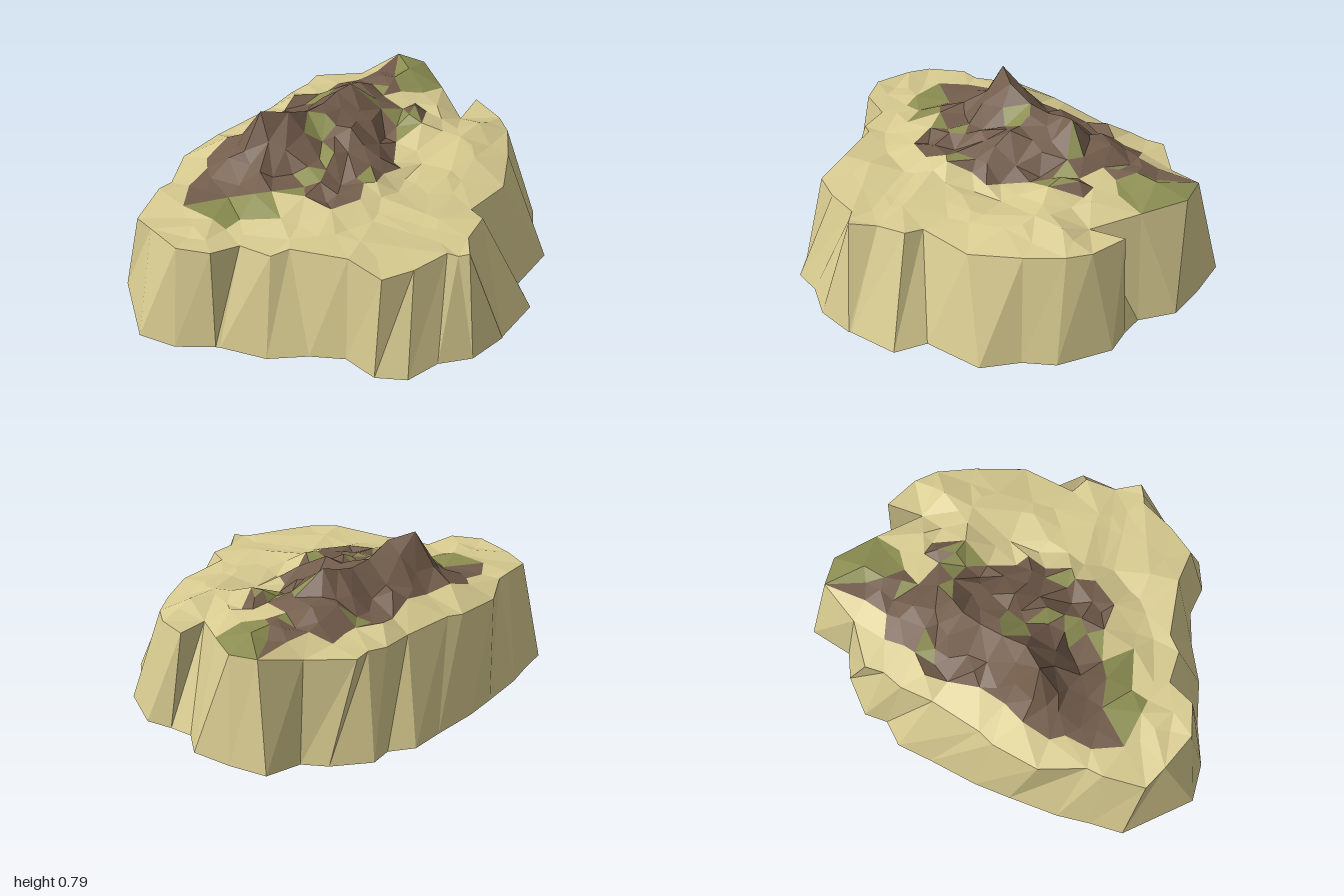
import * as THREE from 'three';

// Outlines run clockwise seen from above, starting at the back: x, z pairs
const pairs = a => a.reduce((out, v, i) => (i % 2 ? out.push([a[i - 1], v]) : 0, out), []);
const BASE = pairs([
  0.06, -1, 0.25, -0.93, 0.44, -0.84, 0.51, -0.67, 0.62, -0.62, 0.75, -0.58, 0.9, -0.35, 0.91, -0.19,
  0.98, -0.01, 0.87, 0.25, 0.94, 0.39, 0.83, 0.62, 0.83, 0.63, 0.71, 0.79, 0.56, 0.87, 0.44, 0.98,
  0.29, 0.99, 0.15, 0.92, -0.02, 0.92, -0.21, 0.95, -0.43, 0.93, -0.45, 0.93, -0.64, 0.94, -0.82, 0.89,
  -0.98, 0.54, -0.93, 0.38, -0.89, 0.22, -0.8, -0.01, -0.73, -0.18, -0.61, -0.4, -0.53, -0.56,
  -0.41, -0.62, -0.37, -0.73, -0.18, -0.81, -0.05, -0.82]);
const RIM = pairs([
  0.12, -0.89, 0.26, -0.85, 0.38, -0.65, 0.5, -0.43, 0.56, -0.6, 0.69, -0.47, 0.74, -0.36, 0.76, -0.17,
  0.76, 0.08, 0.63, 0.31, 0.69, 0.38, 0.64, 0.52, 0.66, 0.65, 0.61, 0.66, 0.56, 0.66, 0.43, 0.79,
  0.3, 0.88, 0.14, 0.81, -0.13, 0.76, -0.21, 0.8, -0.36, 0.75, -0.47, 0.85, -0.63, 0.84, -0.78, 0.71,
  -0.87, 0.62, -0.82, 0.42, -0.78, 0.35, -0.78, 0.12, -0.66, -0.09, -0.6, -0.15, -0.45, -0.37,
  -0.38, -0.52, -0.31, -0.6, -0.28, -0.69, -0.05, -0.75]);
const RIM_Y = [0.54, 0.53, 0.51, 0.48, 0.49, 0.48, 0.48, 0.47, 0.46, 0.48, 0.49, 0.48, 0.49, 0.48, 0.49, 0.48, 0.48,
  0.52, 0.5, 0.48, 0.48, 0.5, 0.5, 0.49, 0.47, 0.5, 0.49, 0.48, 0.48, 0.49, 0.48, 0.48, 0.49, 0.49, 0.49];
// Base points lifted off the ground
const LIFT = { 0: 0.03, 1: 0.02, 2: 0.015, 9: 0.02, 14: 0.02, 17: 0.03, 18: 0.02, 20: 0.02, 21: 0.02 };

// Peaks, saddles and flats of the land: x, z, height
const LAND = [
  [-0.39, 0.13, 0.79], [-0.27, 0.07, 0.76], [-0.34, 0.2, 0.67], [-0.49, 0.1, 0.63], [-0.53, 0.22, 0.57],
  [-0.63, 0.25, 0.52], [-0.48, -0.03, 0.54], [-0.3, 0.31, 0.55], [-0.45, 0.36, 0.52], [-0.6, 0.4, 0.5],
  [-0.2, -0.04, 0.7], [-0.14, -0.14, 0.69], [-0.03, -0.27, 0.73], [-0.09, -0.22, 0.71], [-0.25, -0.2, 0.57],
  [-0.13, -0.4, 0.61], [-0.02, -0.46, 0.62], [-0.28, -0.36, 0.52], [0.08, -0.62, 0.57], [0.2, -0.7, 0.575],
  [-0.11, 0.07, 0.61], [0.02, 0.02, 0.67], [0.09, 0.08, 0.62], [0.2, 0.17, 0.53], [0.02, 0.39, 0.55],
  [-0.14, 0.36, 0.55], [0.26, -0.26, 0.59], [0.12, -0.27, 0.6], [0.2, -0.45, 0.56], [0.13, 0.31, 0.57],
  [0.15, -0.03, 0.56], [0.23, 0.03, 0.5], [0.22, -0.11, 0.52], [0.36, 0, 0.49], [0.5, -0.25, 0.54],
  [0.6, -0.32, 0.54], [0.42, 0.25, 0.5], [0.2, 0.5, 0.5], [0.05, 0.62, 0.5], [-0.4, 0.57, 0.485],
  [-0.65, 0.6, 0.485], [0.4, 0.55, 0.49], [-0.15, -0.6, 0.51], [0.38, -0.42, 0.55], [0.3, 0.14, 0.49]];

// Rock area and grass patches on the land
const ROCK = pairs([0.12, -0.86, 0.18, -0.55, 0.1, -0.42, 0.3, -0.38, 0.36, -0.22, 0.22, -0.14, 0.25, 0.05,
  0.25, 0.22, 0.1, 0.27, 0.12, 0.44, -0.05, 0.47, -0.2, 0.36, -0.3, 0.48, -0.63, 0.46, -0.72, 0.38,
  -0.64, 0.18, -0.55, -0.02, -0.38, -0.2, -0.36, -0.42, -0.12, -0.6, 0.02, -0.62]);
const GRASS = [[0.22, -0.8, 0.09], [0.24, -0.62, 0.11], [0.1, -0.52, 0.05], [0.24, -0.24, 0.07], [-0.2, -0.37, 0.05],
  [-0.13, 0.03, 0.05], [-0.08, 0.17, 0.06], [-0.14, 0.3, 0.06], [0.13, 0.26, 0.05], [-0.5, 0.54, 0.12],
  [-0.36, 0.52, 0.09], [-0.16, 0.42, 0.05], [0.06, -0.34, 0.05]];

const inside = (x, z, poly) => poly.reduce((hit, [ax, az], i) => {
  const [bx, bz] = poly[(i + 1) % poly.length];
  return (az > z) !== (bz > z) && x < ax + (bx - ax) * (z - az) / (bz - az) ? !hit : hit;
}, false);

function seeded(seed) {
  return () => (seed = (seed * 16807) % 2147483647) / 2147483647;
}

// Height blended from the known points, nearest strongest
function heightAt(x, z, known) {
  let sum = 0, weight = 0;
  for (const [kx, kz, ky] of known) {
    const w = 1 / (Math.hypot(x - kx, z - kz) ** 3 + 1e-5);
    sum += w * ky;
    weight += w;
  }
  return sum / weight;
}

// Irregular triangle net (Delaunay) over points whose first two values are x, z
function triangulate(points) {
  const p = [...points, [-30, -25], [30, -25], [0, 40]], n = points.length;
  const circle = (a, b, c) => {
    const [ax, az] = p[a], bx = p[b][0] - ax, bz = p[b][1] - az, cx = p[c][0] - ax, cz = p[c][1] - az;
    const d = 2 * (bx * cz - bz * cx), b2 = bx * bx + bz * bz, c2 = cx * cx + cz * cz;
    const ux = (cz * b2 - bz * c2) / d, uz = (bx * c2 - cx * b2) / d;
    return { v: [a, b, c], x: ax + ux, z: az + uz, r2: ux * ux + uz * uz };
  };
  let tris = [circle(n, n + 1, n + 2)];
  for (let i = 0; i < n; i++) {
    const edges = new Map();
    tris = tris.filter(t => {
      if ((p[i][0] - t.x) ** 2 + (p[i][1] - t.z) ** 2 >= t.r2) return true;
      t.v.forEach((a, k) => {
        const b = t.v[(k + 1) % 3], key = Math.min(a, b) + '_' + Math.max(a, b);
        edges.has(key) ? edges.delete(key) : edges.set(key, [a, b]);
      });
      return false;
    });
    for (const [a, b] of edges.values()) tris.push(circle(a, b, i));
  }
  return tris.map(t => t.v).filter(v => v.every(k => k < n));
}

function part(name, positions, color) {
  const geometry = new THREE.BufferGeometry();
  geometry.setAttribute('position', new THREE.Float32BufferAttribute(positions, 3));
  geometry.computeVertexNormals();
  const material = new THREE.MeshStandardMaterial({ color, flatShading: true, side: THREE.DoubleSide });
  const mesh = new THREE.Mesh(geometry, material);
  mesh.name = name;
  return mesh;
}

export function createModel() {
  const group = new THREE.Group();
  group.name = 'island';
  const sandColor = 0xd8cb90;

  // Cliff: facets from the base outline up to the rim
  const cliff = [], count = BASE.length;
  const low = i => [BASE[i][0], LIFT[i] ?? 0.003, BASE[i][1]];
  const high = i => [RIM[i][0], RIM_Y[i], RIM[i][1]];
  for (let i = 0; i < count; i++) {
    const j = (i + 1) % count;
    cliff.push(...low(j), ...low(i), ...high(i), ...low(j), ...high(i), ...high(j));
  }
  group.add(part('cliff', cliff, sandColor));

  // Land points: rim, known heights, then jittered fill, denser and rougher on the rock
  const rng = seeded(77);
  const points = RIM.map(([x, z], i) => [x, z, RIM_Y[i]]).concat(LAND);
  const known = points.slice();
  const nearRim = (x, z) => RIM.some(([ax, az], i) => {
    const [bx, bz] = RIM[(i + 1) % count];
    return (x - ax) * (x - bx) + (z - az) * (z - bz) < 0.0005;
  });
  for (let gz = -0.9; gz < 0.9; gz += 0.078) {
    for (let gx = -0.9; gx < 0.9; gx += 0.078) {
      const x = gx + (rng() - 0.5) * 0.06, z = gz + (rng() - 0.5) * 0.06;
      const rocky = inside(x, z, ROCK), skip = rng(), bump = rng() - 0.55;
      if (!inside(x, z, RIM) || nearRim(x, z) || (!rocky && skip < 0.45)) continue;
      if (points.some(q => Math.hypot(q[0] - x, q[1] - z) < 0.058)) continue;
      points.push([x, z, Math.min(0.73, heightAt(x, z, known) + bump * (rocky ? 0.06 : 0.025))]);
    }
  }

  // Land surface: each triangle goes to sand, grass or rock
  const land = { sand: [], grass: [], rock: [] };
  for (const v of triangulate(points)) {
    let [a, b, c] = v.map(k => points[k]);
    const x = (a[0] + b[0] + c[0]) / 3, z = (a[1] + b[1] + c[1]) / 3;
    if (!inside(x, z, RIM)) continue;
    if ((b[1] - a[1]) * (c[0] - a[0]) < (b[0] - a[0]) * (c[1] - a[1])) [b, c] = [c, b];
    const grassy = GRASS.some(([gx, gz, r]) => Math.hypot(x - gx, z - gz) < r);
    const kind = grassy ? 'grass' : inside(x, z, ROCK) ? 'rock' : 'sand';
    for (const q of [a, b, c]) land[kind].push(q[0], q[2], q[1]);
  }
  group.add(
    part('sand', land.sand, sandColor),
    part('grass', land.grass, 0x8c8e52),
    part('rockyHills', land.rock, 0x735d4c));
  return group;
}
